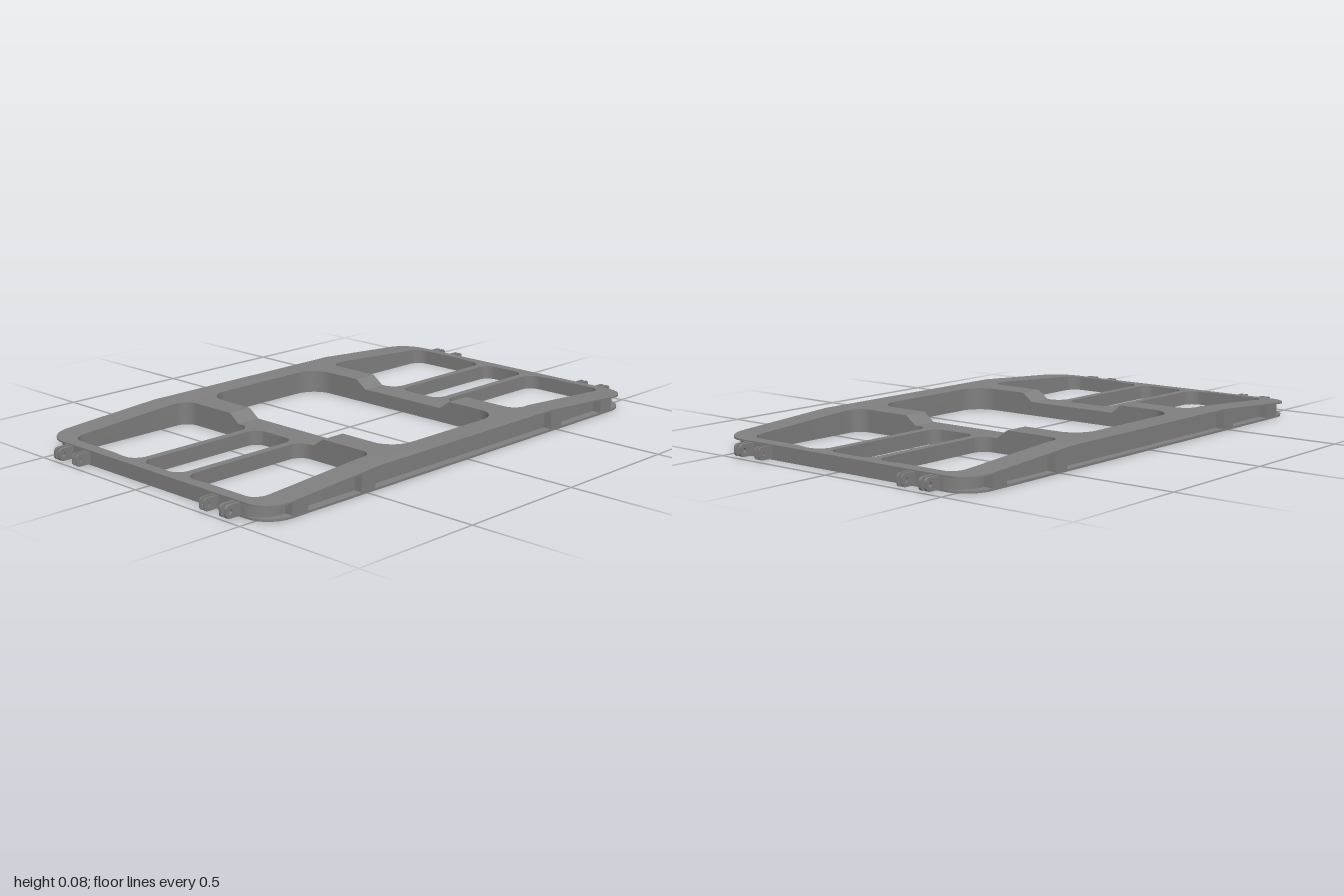
import * as THREE from 'three';
import { toCreasedNormals } from 'three/addons/utils/BufferGeometryUtils.js';

const grey = new THREE.MeshStandardMaterial({ color: 0x808080 });

// Rounded rectangle path around a centre
function roundedRect(PathType, cx, cy, hx, hy, r) {
  const p = new PathType();
  const corners = [[1, -1, -0.5], [1, 1, 0], [-1, 1, 0.5], [-1, -1, 1]];
  for (const [sx, sy, a] of corners) {
    p.absarc(cx + sx * (hx - r), cy + sy * (hy - r), r, a * Math.PI, (a + 0.5) * Math.PI, false);
  }
  p.closePath();
  return p;
}

// Frame outline with its seven windows
function frameShape(hx, hz, r) {
  const s = roundedRect(THREE.Shape, 0, 0, hx, hz, r);
  s.holes.push(roundedRect(THREE.Path, 0, 0, 0.47, 0.28, 0.09));
  for (const e of [-1, 1]) {
    s.holes.push(roundedRect(THREE.Path, 0, e * 0.638, 0.095, 0.262, 0.045));
    for (const m of [-1, 1]) {
      s.holes.push(roundedRect(THREE.Path, m * 0.297, e * 0.638, 0.172, 0.262, 0.05));
    }
  }
  return s;
}

// Cut every triangle along a plane axis = value, so the surface can fold there
function splitTriangles(tris, axis, value) {
  const out = [];
  for (const t of tris) {
    const sides = [[], []];
    for (let i = 0; i < 3; i++) {
      const a = t[i], b = t[(i + 1) % 3];
      const da = a[axis] - value, db = b[axis] - value;
      if (da <= 1e-7) sides[0].push(a);
      if (da >= -1e-7) sides[1].push(a);
      if ((da < -1e-7 && db > 1e-7) || (da > 1e-7 && db < -1e-7)) {
        // interpolate from the same end on both neighbours
        const [p, q] = da < 0 ? [a, b] : [b, a];
        const c = p.clone().lerp(q, Math.abs(p[axis] - value) / Math.abs(q[axis] - p[axis]));
        sides[0].push(c);
        sides[1].push(c);
      }
    }
    for (const poly of sides) {
      const flat = poly.every((p) => Math.abs(p[axis] - value) <= 1e-7);
      if (flat && poly !== sides[0]) continue;
      for (let i = 1; i + 1 < poly.length; i++) out.push([poly[0], poly[i], poly[i + 1]]);
    }
  }
  return out;
}

// Slab of the frame between two height functions of x and z
function slab(name, shape, bottom, top) {
  const geo = new THREE.ExtrudeGeometry(shape, { depth: 1, bevelEnabled: false, curveSegments: 8 });
  geo.rotateX(-Math.PI / 2);
  const pos = (geo.index ? geo.toNonIndexed() : geo).attributes.position;
  let tris = [];
  for (let i = 0; i < pos.count; i += 3) {
    tris.push([0, 1, 2].map((k) => new THREE.Vector3().fromBufferAttribute(pos, i + k)));
  }
  for (const v of [-0.235, -0.19, 0.19, 0.235]) tris = splitTriangles(tris, 'x', v);
  for (const v of [-0.45, 0.45]) tris = splitTriangles(tris, 'z', v);
  const pts = tris.flat().map((p) => {
    const lo = bottom(p.x, p.z), hi = top(p.x, p.z);
    return new THREE.Vector3(p.x, lo + (hi - lo) * p.y, p.z);
  });
  const g = new THREE.BufferGeometry().setFromPoints(pts);
  g.computeVertexNormals();
  const mesh = new THREE.Mesh(toCreasedNormals(g, 0.3), grey);
  mesh.name = name;
  return mesh;
}

// Ends slope down; the middle is a low valley between two ramps
const clamp = THREE.MathUtils.clamp;
const topHeight = (x, z) => {
  const ramp = clamp((Math.abs(x) - 0.19) / 0.045, 0, 1);
  const endFall = clamp((Math.abs(z) - 0.45) / 0.49, 0, 1);
  return 0.052 + ramp * 0.032 * (1 - endFall);
};
const lipHeight = (x, z) => topHeight(x, z) - 0.006;

export function createModel() {
  const model = new THREE.Group();
  model.name = 'frame';

  // Thin bottom flange, recessed web and thin top lip form the side channel
  model.add(slab('bottomFlange', frameShape(0.563, 0.94, 0.1), () => 0, () => 0.008));
  model.add(slab('web', frameShape(0.53, 0.94, 0.09), () => 0.008, lipHeight));
  model.add(slab('topLip', frameShape(0.57, 0.94, 0.1), lipHeight, topHeight));

  // Blocks filling the side channel, their tops following the sloping lip
  for (const sx of [-1, 1]) {
    for (const sz of [-1, 1]) {
      for (const [z0, z1] of [[0.465, 0.528], [0.768, 0.838]]) {
        const s = new THREE.Shape();
        s.moveTo(z0, 0.007);
        s.lineTo(z1, 0.007);
        s.lineTo(z1, lipHeight(0.5, z1) + 0.001);
        s.lineTo(z0, lipHeight(0.5, z0) + 0.001);
        s.closePath();
        const geo = new THREE.ExtrudeGeometry(s, { depth: 0.038, bevelEnabled: false });
        geo.translate(0, 0, -0.019);
        const block = new THREE.Mesh(geo, grey);
        block.rotation.y = -sz * Math.PI / 2;
        block.position.x = sx * 0.544;
        block.name = 'channelBlock';
        model.add(block);
      }
    }
  }

  // Hinge lugs with pin holes at both ends
  const lugShape = roundedRect(THREE.Shape, 0.965, 0.027, 0.035, 0.022, 0.015);
  const pinHole = new THREE.Path();
  pinHole.absarc(0.982, 0.027, 0.008, 0, Math.PI * 2, true);
  lugShape.holes.push(pinHole);

  for (const end of [-1, 1]) {
    for (const side of [-1, 1]) {
      for (const [x, t] of [[0.316, 0.005], [0.335, 0.005], [0.411, 0.01], [0.434, 0.01]]) {
        const geo = new THREE.ExtrudeGeometry(lugShape, { depth: t, bevelEnabled: false, curveSegments: 8 });
        geo.translate(0, 0, -t / 2);
        const lug = new THREE.Mesh(geo, grey);
        lug.rotation.y = -end * Math.PI / 2;
        lug.position.x = side * x;
        lug.name = 'hingeLug';
        model.add(lug);
      }
    }
  }
  return model;
}
